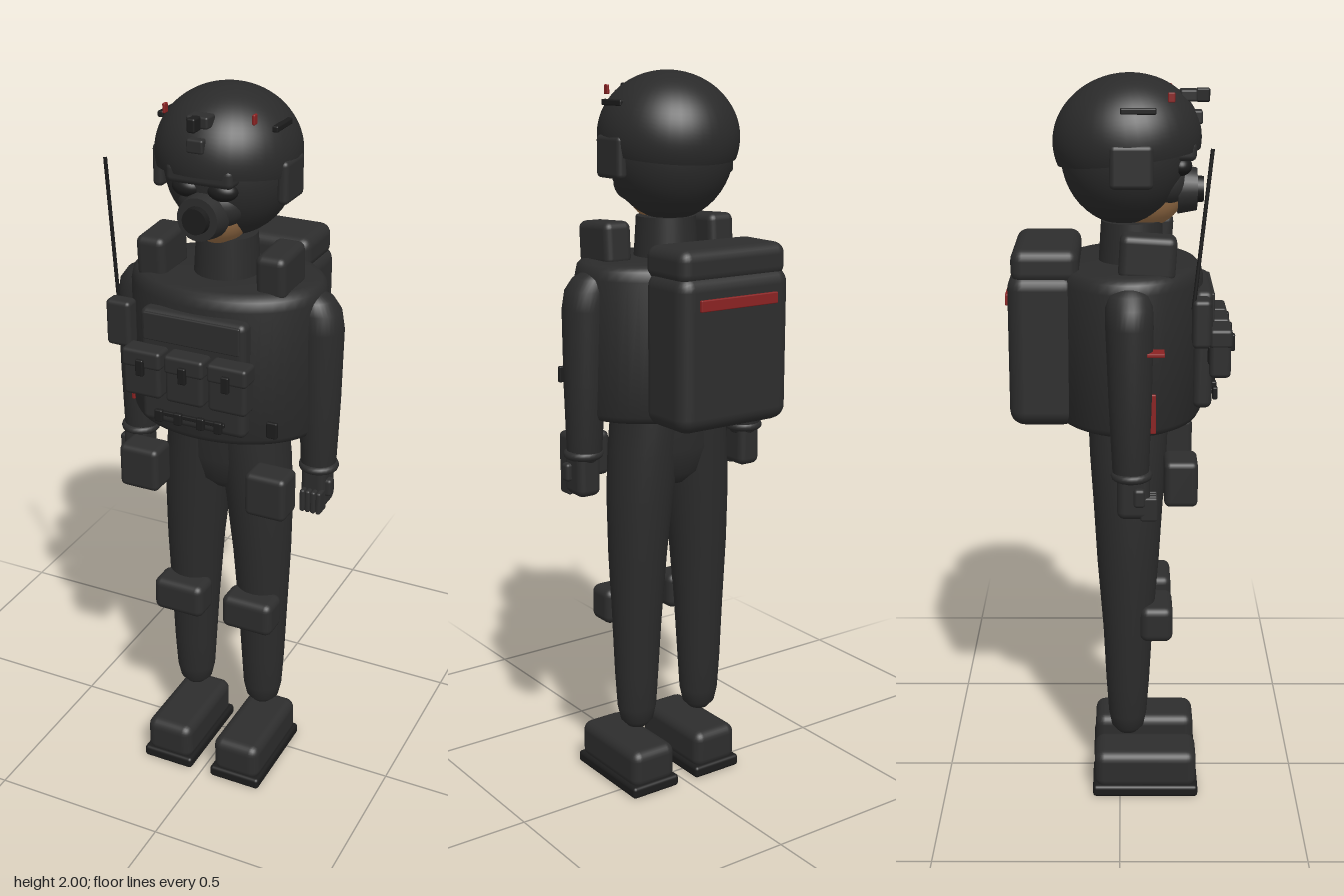
import * as THREE from 'three';
import { toCreasedNormals } from 'three/addons/utils/BufferGeometryUtils.js';
import { RoundedBoxGeometry } from 'three/addons/geometries/RoundedBoxGeometry.js';

const mat = (name, color, side = THREE.FrontSide) => {
  const m = new THREE.MeshStandardMaterial({ color, side });
  m.name = name;
  return m;
};

// Smooth body through elliptical sections [y, cx, cz, rx, rz], listed bottom to top
function loft(sections, sides = 32) {
  const pos = [], idx = [];
  sections.forEach(([y, cx, cz, rx, rz], i) => {
    for (let j = 0; j < sides; j++) {
      const t = (j / sides) * Math.PI * 2;
      pos.push(cx + Math.cos(t) * rx, y, cz + Math.sin(t) * rz);
      if (i === sections.length - 1) continue;
      const a = i * sides + j, b = i * sides + (j + 1) % sides;
      idx.push(a, a + sides, b, b, a + sides, b + sides);
    }
  });
  const g = new THREE.BufferGeometry();
  g.setAttribute('position', new THREE.Float32BufferAttribute(pos, 3));
  g.setIndex(idx);
  g.computeVertexNormals();
  return g;
}

export function createModel() {
  const model = new THREE.Group();
  const suit = mat('suitCharcoal', 0x2b2b2b);
  const gear = mat('gearCharcoal', 0x2d2d2d);
  const shell = mat('helmetCharcoal', 0x2a2a2a, THREE.DoubleSide);
  const black = mat('fittingBlack', 0x1c1c1c);
  const red = mat('signalRed', 0x8a2222);
  const skin = mat('skin', 0x9a7048);

  const add = (name, geo, material, x = 0, y = 0, z = 0) => {
    const m = new THREE.Mesh(geo, material);
    m.name = name;
    m.position.set(x, y, z);
    model.add(m);
    return m;
  };
  const box = (name, material, [x, y, z], [w, h, d], r = 0.012) =>
    add(name, new RoundedBoxGeometry(w, h, d, 3, Math.min(r, w / 2.2, h / 2.2, d / 2.2)), material, x, y, z);
  const ball = (name, material, [x, y, z], [rx, ry, rz], theta = Math.PI) => {
    const m = add(name, new THREE.SphereGeometry(1, 40, 24, 0, Math.PI * 2, 0, theta), material, x, y, z);
    m.scale.set(rx, ry, rz);
    return m;
  };
  const disc = (name, material, [x, y, z], r1, r2, len) => {
    const m = add(name, new THREE.CylinderGeometry(r1, r2, len, 28), material, x, y, z);
    m.rotation.x = Math.PI / 2;
    return m;
  };

  // Torso vest with rounded rims
  add('torsoVest', toCreasedNormals(loft([
    [1.105, 0, 0.02, 0.001, 0.001], [1.105, 0, 0.02, 0.25, 0.18], [1.11, 0, 0.02, 0.26, 0.192],
    [1.125, 0, 0.02, 0.267, 0.2], [1.48, 0, 0.02, 0.267, 0.2], [1.505, 0, 0.02, 0.262, 0.194],
    [1.515, 0, 0.02, 0.252, 0.184], [1.52, 0, 0.02, 0.235, 0.168], [1.52, 0, 0.02, 0.001, 0.001],
  ], 48), 0.7), suit);
  add('hips', loft([
    [0.885, 0, 0.02, 0.001, 0.001], [0.895, 0, 0.02, 0.05, 0.05], [0.93, 0, 0.02, 0.11, 0.085],
    [1.0, 0, 0.02, 0.16, 0.102], [1.12, 0, 0.022, 0.158, 0.108],
  ]), suit);
  add('neck', new THREE.CylinderGeometry(0.08, 0.088, 0.13, 32), suit, 0, 1.56, 0.03);

  // Head, face and helmet
  ball('balaclava', suit, [0, 1.8, 0.01], [0.17, 0.185, 0.165]);
  ball('face', skin, [0, 1.72, 0.06], [0.085, 0.115, 0.115]);
  ball('maskBody', gear, [0, 1.725, 0.11], [0.09, 0.068, 0.07]);
  disc('maskFilter', gear, [0, 1.705, 0.175], 0.055, 0.064, 0.05);
  disc('maskValve', black, [0, 1.705, 0.205], 0.033, 0.036, 0.025);
  box('goggleBridge', gear, [0, 1.812, 0.165], [0.18, 0.05, 0.06], 0.015);
  ball('helmet', shell, [0, 1.832, 0.018], [0.185, 0.168, 0.193], 1.82).rotation.x = -0.12;
  box('helmetMountBase', gear, [0, 1.945, 0.175], [0.058, 0.03, 0.045], 0.006);
  box('helmetMountArm', black, [0, 1.945, 0.212], [0.022, 0.035, 0.036], 0.005);
  box('helmetMountPlate', gear, [0, 1.89, 0.197], [0.045, 0.035, 0.03], 0.006);

  for (const s of [-1, 1]) {
    const side = s > 0 ? 'left' : 'right';
    ball(side + 'GoggleLens', black, [0.048 * s, 1.772, 0.155], [0.04, 0.026, 0.03]);
    box(side + 'EarCup', gear, [0.172 * s, 1.785, 0.028], [0.03, 0.11, 0.11], 0.013);
    box(side + 'HelmetRail', black, [0.155 * s, 1.92, 0.045], [0.016, 0.016, 0.09], 0.004);
    box(side + 'HelmetLamp', red, [0.12 * s, 1.95, 0.128], [0.008, 0.025, 0.018], 0.003);

    box(side + 'ShoulderPad', gear, [0.168 * s, 1.56, 0.07], [0.082, 0.115, 0.145], 0.02).rotation.x = 0.06;

    // Arm, cuff and gloved hand
    add(side + 'Arm', loft([
      [0.985, 0.268 * s, 0.028, 0.001, 0.001], [0.99, 0.268 * s, 0.028, 0.035, 0.035],
      [1.01, 0.268 * s, 0.028, 0.047, 0.047], [1.2, 0.266 * s, 0.026, 0.055, 0.055],
      [1.4, 0.262 * s, 0.024, 0.061, 0.061], [1.45, 0.255 * s, 0.023, 0.059, 0.06],
      [1.48, 0.245 * s, 0.022, 0.047, 0.05], [1.497, 0.235 * s, 0.022, 0.025, 0.028],
      [1.502, 0.23 * s, 0.022, 0.001, 0.001],
    ]), suit);
    box(side + 'Glove', gear, [0.27 * s, 0.96, 0.035], [0.07, 0.13, 0.085], 0.02);
    const cuff = add(side + 'Cuff', new THREE.TorusGeometry(0.042, 0.012, 10, 24), gear, 0.27 * s, 1.01, 0.03);
    cuff.rotation.x = Math.PI / 2;
    for (let i = 0; i < 4; i++)
      box(side + 'Finger', gear, [(0.25 + i * 0.0155) * s, 0.925, 0.075], [0.014, 0.065, 0.045], 0.006);
    box(side + 'Thumb', gear, [0.308 * s, 0.96, 0.05], [0.024, 0.05, 0.03], 0.009);

    // Leg, knee pad and boot
    add(side + 'Leg', loft([
      [0.175, 0.109 * s, 0.022, 0.001, 0.001], [0.18, 0.109 * s, 0.022, 0.028, 0.028],
      [0.2, 0.109 * s, 0.022, 0.047, 0.045], [0.24, 0.109 * s, 0.022, 0.056, 0.053],
      [0.34, 0.109 * s, 0.022, 0.062, 0.06], [0.5, 0.107 * s, 0.022, 0.07, 0.068],
      [0.7, 0.103 * s, 0.022, 0.081, 0.084], [0.87, 0.094 * s, 0.022, 0.092, 0.094],
      [1.0, 0.082 * s, 0.022, 0.096, 0.103], [1.12, 0.07 * s, 0.022, 0.093, 0.108],
    ]), suit);
    box(side + 'KneePad', gear, [0.107 * s, 0.535, 0.1], [0.152, 0.102, 0.09], 0.022);
    box(side + 'Boot', gear, [0.108 * s, 0.078, 0.072], [0.142, 0.112, 0.288], 0.028);
    box(side + 'BootSole', black, [0.108 * s, 0.018, 0.072], [0.155, 0.034, 0.298], 0.01);
    box(side + 'HipPouch', gear, [0.187 * s, 0.97, 0.16], [0.116, 0.125, 0.088], 0.016);
  }

  // Chest plate and magazine pouches
  box('chestPlate', gear, [0, 1.307, 0.216], [0.295, 0.315, 0.05], 0.018);
  box('chestPanel', gear, [0, 1.42, 0.24], [0.27, 0.075, 0.01], 0.004);
  box('pouchBacking', black, [0, 1.3, 0.238], [0.33, 0.05, 0.02], 0.006);
  for (const x of [-0.12, 0, 0.12]) {
    box('magazinePouch', gear, [x, 1.295, 0.26], [0.106, 0.11, 0.056], 0.012);
    box('pouchFlap', gear, [x, 1.345, 0.261], [0.11, 0.05, 0.06], 0.01);
    box('pouchBuckle', black, [x, 1.325, 0.293], [0.022, 0.045, 0.014], 0.004);
  }
  box('webbingStrap', black, [0, 1.183, 0.244], [0.19, 0.012, 0.012], 0.003);
  for (const x of [-0.09, -0.035, 0.03, 0.08])
    box('webbingClip', black, [x, 1.178, 0.252], [0.022, 0.034, 0.014], 0.004);
  box('sideTag', black, [0.215, 1.185, 0.217], [0.03, 0.045, 0.012], 0.004);

  // Radio with a forward-leaning aerial
  box('radio', gear, [-0.217, 1.402, 0.207], [0.07, 0.125, 0.047], 0.012);
  const aerial = new THREE.LineCurve3(new THREE.Vector3(-0.236, 1.44, 0.185), new THREE.Vector3(-0.236, 1.84, 0.226));
  add('aerial', new THREE.TubeGeometry(aerial, 1, 0.005, 8), black);

  // Backpack
  box('backpack', gear, [0, 1.308, -0.2], [0.35, 0.405, 0.18], 0.04);
  box('backpackLid', gear, [0, 1.53, -0.193], [0.335, 0.09, 0.175], 0.03);

  // Red markings
  box('backpackStripe', red, [0, 1.437, -0.293], [0.245, 0.03, 0.01], 0.003);
  box('armPatch', red, [-0.28, 1.337, 0.09], [0.05, 0.009, 0.045], 0.002);
  box('sidePullTab', red, [-0.257, 1.17, 0.085], [0.009, 0.105, 0.015], 0.003);

  return model;
}
